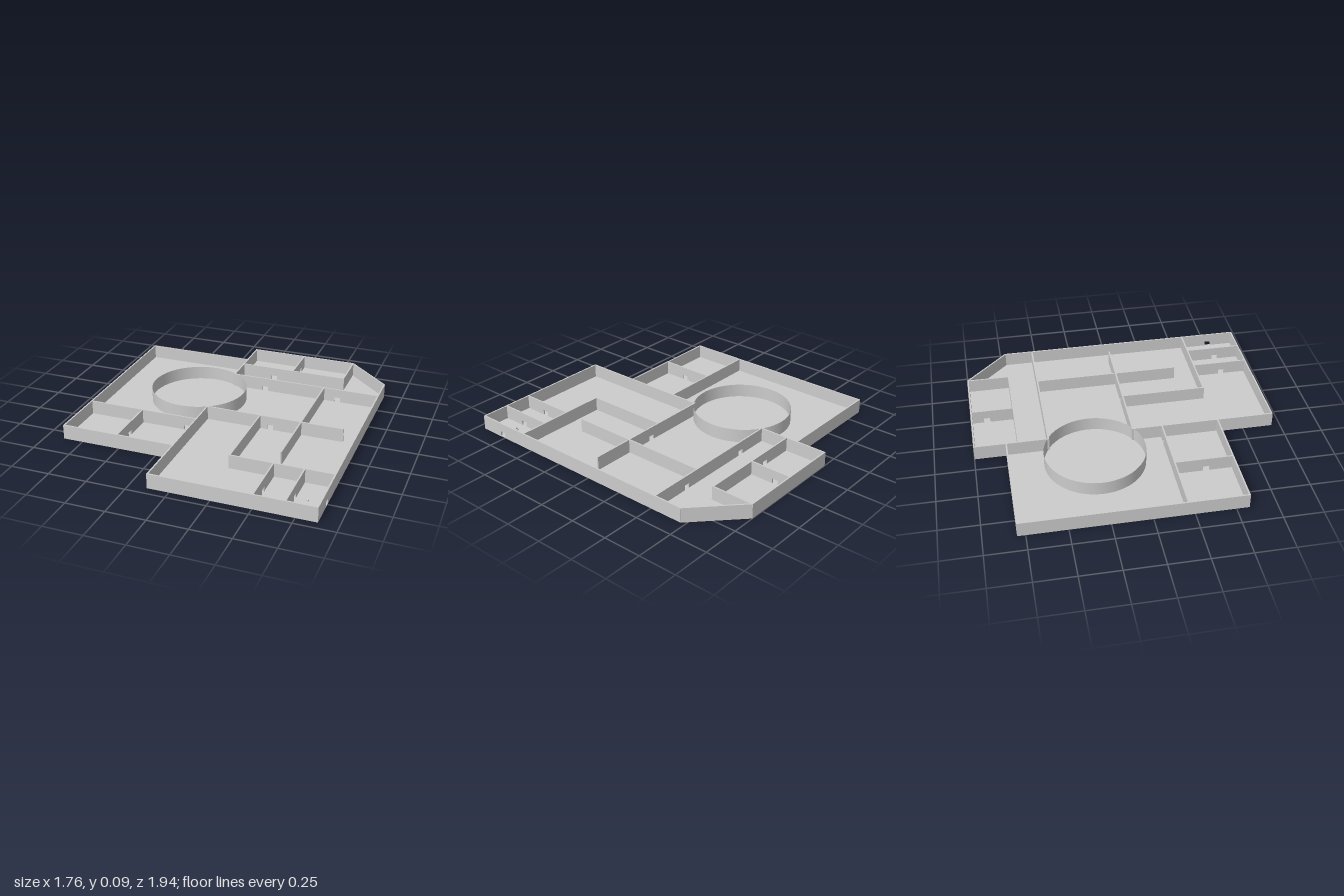
import * as THREE from 'three';

const H = 0.095, T = 0.01, FLOOR = 0.006;
const DOOR_W = 0.04, DOOR_H = 0.037;
const mat = new THREE.MeshStandardMaterial({ color: 0xcccccc });
const thin = new THREE.MeshStandardMaterial({ color: 0xcccccc, side: THREE.DoubleSide });

function add(group, name, geo, material = mat) {
  const m = new THREE.Mesh(geo, material);
  m.name = name;
  group.add(m);
  return m;
}

// Upright wall on the centreline a-b; doors are distances from a along the wall
function wall(group, name, [ax, az], [bx, bz], doors = [], ext = 0) {
  const len = Math.hypot(bx - ax, bz - az);
  const s = new THREE.Shape();
  s.moveTo(-ext, 0).lineTo(len + ext, 0).lineTo(len + ext, H).lineTo(-ext, H).closePath();
  for (const d of doors) {
    const l = d - DOOR_W / 2, r = d + DOOR_W / 2;
    const hole = new THREE.Path();
    hole.moveTo(l, FLOOR).lineTo(l, DOOR_H).lineTo(r, DOOR_H).lineTo(r, FLOOR).closePath();
    s.holes.push(hole);
  }
  const g = new THREE.ExtrudeGeometry(s, { depth: T, bevelEnabled: false });
  g.translate(0, 0, -T / 2);
  g.rotateY(-Math.atan2(bz - az, bx - ax));
  g.translate(ax, 0, az);
  add(group, name, g);
}

export function createModel() {
  const model = new THREE.Group();
  model.name = 'floorPlan';

  // Floor slab
  const outline = [[-0.88, -0.8], [-0.145, -0.8], [-0.145, -1], [0.593, -1], [0.88, -0.72],
    [0.88, 0.945], [-0.138, 0.945], [-0.138, 0.58], [-0.88, 0.58]];
  const floor = new THREE.ExtrudeGeometry(
    new THREE.Shape(outline.map(([x, z]) => new THREE.Vector2(x, z))),
    { depth: FLOOR, bevelEnabled: false });
  floor.rotateX(Math.PI / 2).translate(0, FLOOR, 0);
  add(model, 'floor', floor);

  // Outer walls, set just inside the edge of the slab
  const outer = new THREE.Group();
  outer.name = 'outerWalls';
  model.add(outer);
  const e = T / 2;
  const line = [[-0.88 + e, -0.8 + e], [-0.145 + e, -0.8 + e], [-0.145 + e, -1 + e],
    [0.591, -1 + e], [0.88 - e, -0.718], [0.88 - e, 0.945 - e],
    [-0.138 + e, 0.945 - e], [-0.138 + e, 0.58 - e], [-0.88 + e, 0.58 - e]];
  line.forEach((p, i) => {
    const slanted = i === 3;
    const doors = i === 4 ? [0.765 + 0.718] : [];
    wall(outer, 'outerWall', p, line[(i + 1) % line.length], doors, slanted ? 0 : i === 2 || i === 4 ? 0.002 : e);
  });

  // Partition walls: start, end, door distances
  const inner = new THREE.Group();
  inner.name = 'partitionWalls';
  model.add(inner);
  const partitions = [
    // back rooms and corridor
    [[-0.14, -0.8], [-0.14, -0.525]],
    [[-0.14, -0.718], [0.595, -0.718], [0.23]],
    [[0.225, -0.995], [0.225, -0.718], [0.1]],
    [[0.59, -0.995], [0.59, -0.715]],
    [[-0.14, -0.528], [0.875, -0.528], [0.225, 0.74]],
    // middle rooms
    [[0.503, -0.528], [0.503, 0.43]],
    [[-0.138, 0.015], [0.78, 0.015], [0.44]],
    [[0.23, 0.015], [0.23, 0.575]],
    [[0.225, 0.57], [0.875, 0.57]],
    [[-0.133, 0.01], [-0.133, 0.58]],
    // front rooms
    [[0.503, 0.57], [0.503, 0.94], [0.2]],
    [[0.692, 0.57], [0.692, 0.94], [0.2]],
    // side rooms
    [[-0.875, 0.206], [-0.133, 0.206], [0.68]],
    [[-0.508, 0.206], [-0.508, 0.575], [0.2]],
  ];
  for (const [a, b, doors] of partitions) wall(inner, 'partition', a, b, doors);

  // Round enclosure
  const ring = new THREE.CylinderGeometry(0.32, 0.32, H - FLOOR, 96, 1, true);
  ring.translate(-0.297, (H + FLOOR) / 2, -0.255);
  add(model, 'roundWall', ring, thin);

  // Tiny pointer standing in the small front room
  const pointer = new THREE.Group();
  pointer.name = 'pointer';
  pointer.position.set(0.768, FLOOR, 0.765);
  add(pointer, 'pointerHead', new THREE.ConeGeometry(0.01, 0.016, 8).rotateX(Math.PI / 2).translate(0, 0.008, 0.006));
  add(pointer, 'pointerTail', new THREE.BoxGeometry(0.012, 0.006, 0.014).translate(0, 0.006, -0.007));
  model.add(pointer);

  // Centre front to back
  model.position.z = 0.0275;
  model.position.z = 0;
  return model;
}
